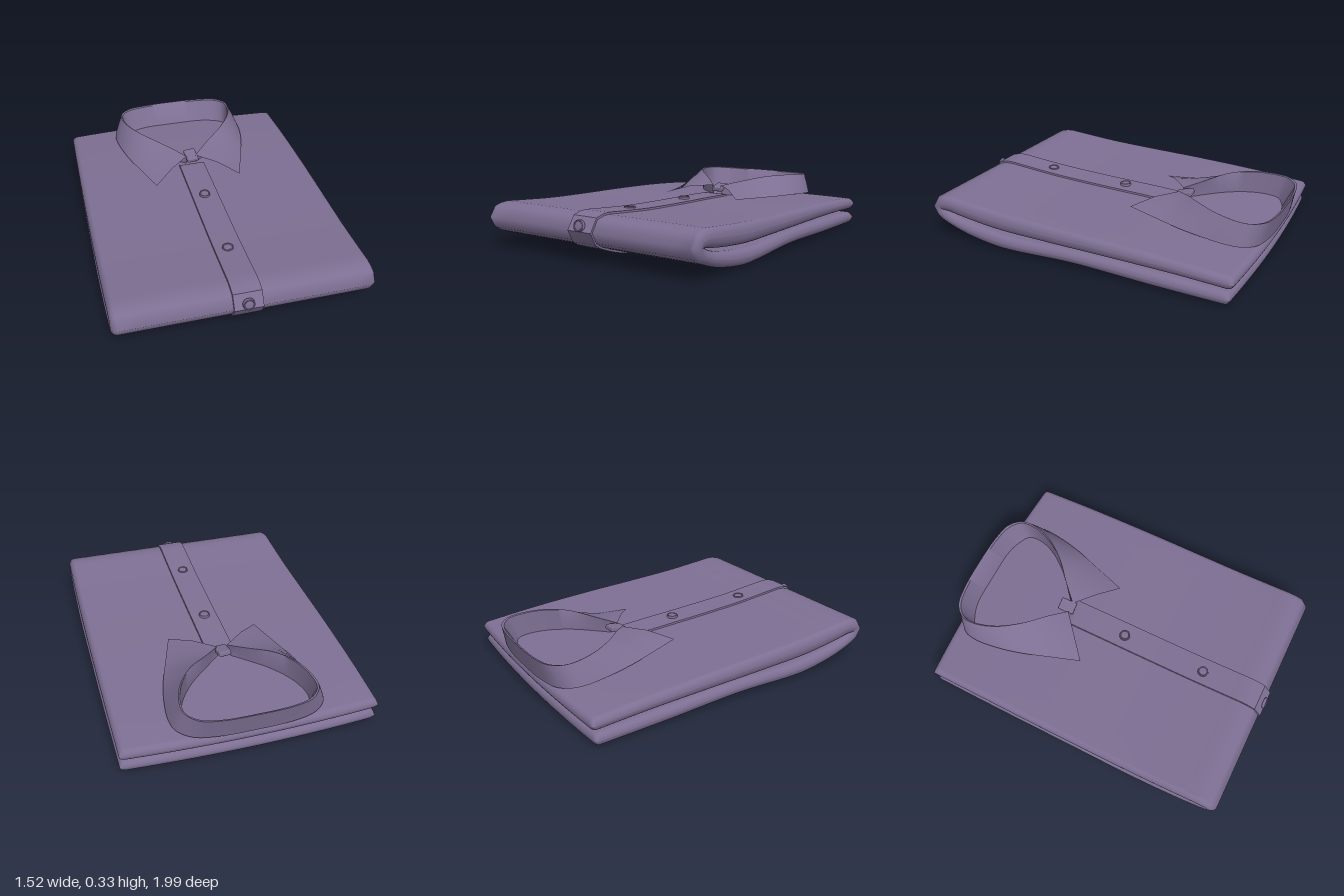
import * as THREE from 'three';
import { toCreasedNormals } from 'three/addons/utils/BufferGeometryUtils.js';
import { RoundedBoxGeometry } from 'three/addons/geometries/RoundedBoxGeometry.js';

// Surface through rows of equally many points; closed joins each row into a loop.
function skin(rows, closed) {
  const n = rows[0].length, index = [];
  for (let i = 0; i < rows.length - 1; i++) {
    for (let j = 0; j < (closed ? n : n - 1); j++) {
      const k = (j + 1) % n;
      const a = i * n + j, b = a + n, c = i * n + k, d = c + n;
      index.push(a, b, c, b, d, c);
    }
  }
  const g = new THREE.BufferGeometry();
  g.setAttribute('position', new THREE.Float32BufferAttribute(rows.flat(2), 3));
  g.setIndex(index);
  g.computeVertexNormals();
  return g;
}

// Folded layer seen from the side: z, y, half thickness
const fold = new THREE.CatmullRomCurve3([
  [-0.935, 0.136, 0.036], [-0.6, 0.155, 0.041], [-0.2, 0.166, 0.047], [0.2, 0.172, 0.052],
  [0.5, 0.18, 0.056], [0.75, 0.202, 0.053], [0.86, 0.214, 0.048], [0.915, 0.202, 0.045],
  [0.927, 0.178, 0.042], [0.905, 0.148, 0.04], [0.83, 0.113, 0.038], [0.7, 0.08, 0.042],
  [0.5, 0.055, 0.045], [0.38, 0.052, 0.042], [0, 0.068, 0.04], [-0.5, 0.056, 0.041], [-0.92, 0.045, 0.037],
].map((p) => new THREE.Vector3(...p)));

// Samples along the fold with an outward normal; both ends are rounded off
function foldStations() {
  const ts = [], END = 0.009, E = 6, N = 110;
  for (let i = 0; i < E; i++) {
    const a = (i / E) * Math.PI / 2;
    ts.push([END * (1 - Math.cos(a)), Math.sin(a)]);
  }
  const tail = ts.map(([t, f]) => [1 - t, f]).reverse();
  for (let i = 0; i <= N; i++) ts.push([END + (1 - 2 * END) * i / N, 1]);
  return [...ts, ...tail].map(([t, f]) => {
    const p = fold.getPointAt(t), d = fold.getTangentAt(t);
    const len = Math.hypot(d.x, d.y);
    return { z: p.x, y: p.y, h: p.z * f, nz: -d.y / len, ny: d.x / len, top: t < 0.5 };
  });
}

// Point at x across the sheet, off from its middle; the back hem bows outward
function sheetPoint(s, x, off) {
  const z = s.z + s.nz * off;
  const bow = 0.03 * (1 - (x / 0.73) ** 2) * Math.max(0, (-z - 0.5) / 0.45);
  return [x, s.y + s.ny * off, z - bow];
}

function bodyGeometry(stations) {
  const R = 0.035, xs = [];
  for (let i = 0; i <= 6; i++) xs.push([-R * Math.cos(i * Math.PI / 12), Math.sin(i * Math.PI / 12), -1]);
  for (let i = 1; i < 12; i++) xs.push([i / 6 - 1, 1, 0]);
  for (let i = 6; i >= 0; i--) xs.push([R * Math.cos(i * Math.PI / 12), Math.sin(i * Math.PI / 12), 1]);
  const rows = stations.map((s) => {
    const w = 0.725 + 0.01 * (1 - s.z * s.z);
    const place = ([x, f, side], sign) =>
      sheetPoint(s, side ? side * (w - R) + x : x * (w - R), sign * f * s.h);
    return [...xs.map((p) => place(p, 1)), ...[...xs].reverse().map((p) => place(p, -1))];
  });
  return skin(rows, true);
}

// Button strip lying on the outside of the fold
function placketGeometry(stations) {
  const run = stations.filter((s) => s.z > (s.top ? -0.37 : 0.5));
  const W = 0.084;
  const rows = run.map((s, i) => {
    const up = s.h + (i === 0 || i === run.length - 1 ? -0.01 : 0.011);
    return [[-W, s.h - 0.012], [-W + 0.003, up], [W - 0.003, up], [W, s.h - 0.012]]
      .map(([x, off]) => sheetPoint(s, x, off));
  });
  return toCreasedNormals(skin(rows, true), 0.7);
}

// Collar half-profiles from the back centre to the front
const rim = [[0, 0.31, -1], [0.2, 0.31, -0.992], [0.31, 0.313, -0.965], [0.37, 0.318, -0.9], [0.378, 0.323, -0.82],
  [0.34, 0.33, -0.69], [0.25, 0.325, -0.56], [0.12, 0.295, -0.44], [0.03, 0.27, -0.35]];
const leafEdge = [[0, 0.18, -0.975], [0.2, 0.18, -0.968], [0.34, 0.185, -0.94], [0.415, 0.195, -0.88], [0.435, 0.2, -0.8],
  [0.425, 0.208, -0.66], [0.39, 0.213, -0.5], [0.335, 0.218, -0.33], [0.272, 0.225, -0.14]];
const bandFoot = [[0, 0.16, -0.915], [0.2, 0.16, -0.91], [0.29, 0.17, -0.885], [0.345, 0.175, -0.85], [0.358, 0.18, -0.79],
  [0.328, 0.185, -0.68], [0.24, 0.19, -0.55], [0.112, 0.2, -0.43], [0.03, 0.21, -0.36]];

function mirroredRow(half) {
  const left = half.slice(1).reverse().map(([x, y, z]) => [-x, y, z]);
  const curve = new THREE.CatmullRomCurve3([...left, ...half].map((p) => new THREE.Vector3(...p)), false, 'centripetal');
  return curve.getPoints(96).map((p) => p.toArray());
}

function collarGeometry() {
  // Rows run up the inner band, over the rim and down the leaf
  const inner = rim.map(([x, y, z]) => [x * 0.975, y - 0.004, z + 0.012 * (z < -0.9 ? 1 : 0.3)]);
  const middle = rim.map((r, k) => r.map((v, a) => (v + leafEdge[k][a]) / 2 + (a === 1 ? 0.002 * k : 0)));
  return toCreasedNormals(skin([bandFoot, inner, rim, middle, leafEdge].map(mirroredRow), false), 0.8);
}

function buttonGeometry() {
  const profile = [[0, 0.006], [0.024, 0.006], [0.028, 0.009], [0.032, 0.008], [0.033, 0.004], [0.033, -0.01]];
  return toCreasedNormals(new THREE.LatheGeometry(profile.map((p) => new THREE.Vector2(...p)), 28), 0.6);
}

export function createModel() {
  const fabric = new THREE.MeshStandardMaterial({ color: 0x7d6f93, side: THREE.DoubleSide });
  fabric.name = 'mauve fabric';
  const shirt = new THREE.Group();
  shirt.name = 'foldedShirt';
  const add = (name, geometry) => {
    const mesh = new THREE.Mesh(geometry, fabric);
    mesh.name = name;
    shirt.add(mesh);
    return mesh;
  };

  const stations = foldStations();
  add('foldedBody', bodyGeometry(stations));
  add('placket', placketGeometry(stations));
  add('collar', collarGeometry());

  // Overlapping band end that closes the collar
  const tab = add('collarTab', new RoundedBoxGeometry(0.075, 0.03, 0.1, 2, 0.008));
  tab.position.set(0.005, 0.255, -0.375);
  tab.rotation.set(0.2, 0.1, 0);

  // Buttons: y, z, tilt toward the front
  [[0.237, 0.03, 0.02], [0.25, 0.56, -0.05], [0.214, 0.975, 1.35]].forEach(([y, z, tilt], i) => {
    const button = add('button' + (i + 1), buttonGeometry());
    button.position.set(-0.003, y, z);
    button.rotation.x = tilt;
  });

  // The shirt lies slightly turned
  shirt.rotation.y = 0.034;
  const model = new THREE.Group();
  model.name = 'model';
  model.add(shirt);
  return model;
}
